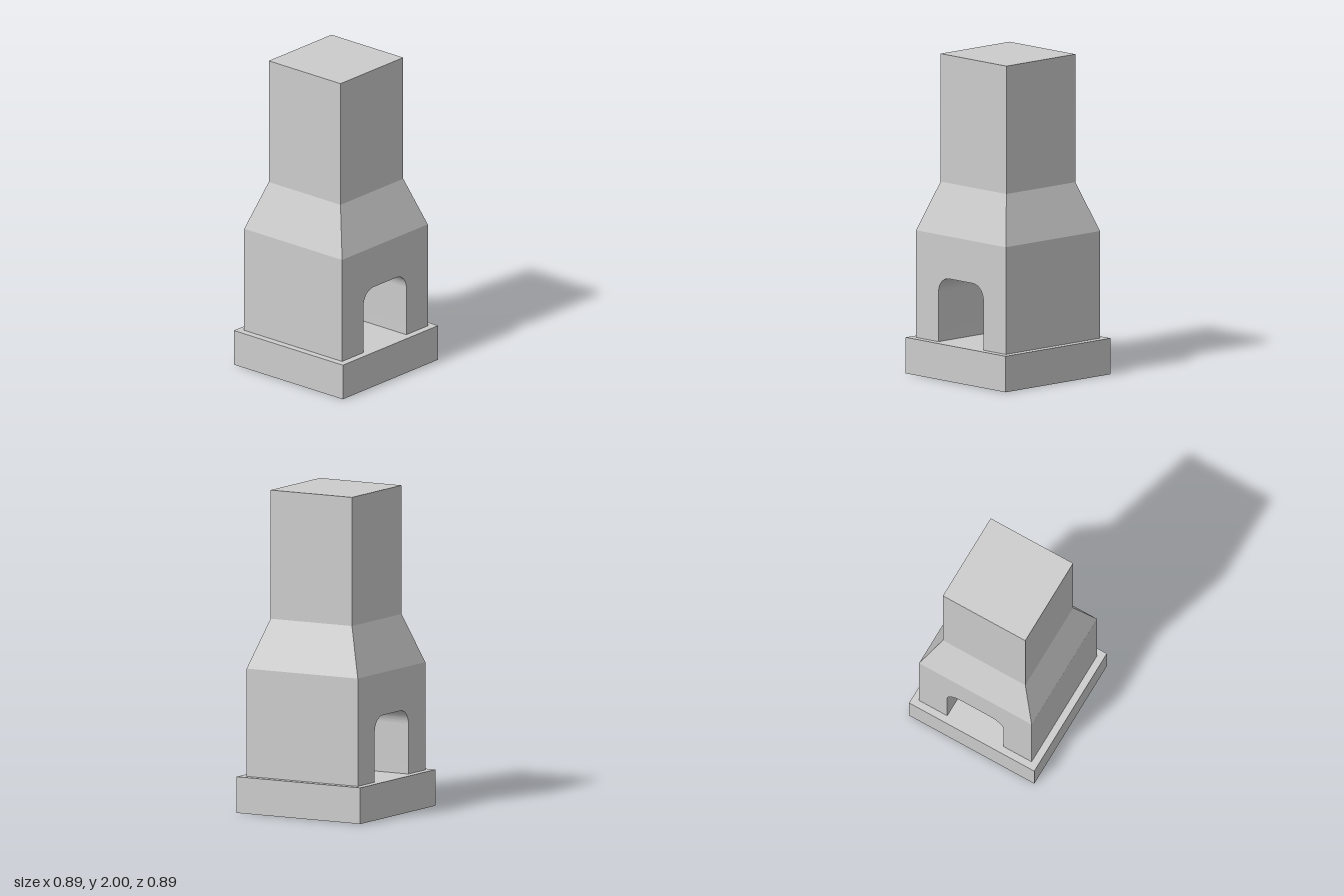
import * as THREE from 'three';
import { toCreasedNormals } from 'three/addons/utils/BufferGeometryUtils.js';

const material = new THREE.MeshStandardMaterial({ color: 0xcccccc });

function part(name, geometry, y) {
  const mesh = new THREE.Mesh(geometry, material);
  mesh.name = name;
  mesh.position.y = y;
  return mesh;
}

// Square firebox outline with a round-cornered opening, run through along x
function fireboxGeometry(half, height, openHalf, openHeight, r) {
  const s = new THREE.Shape();
  s.moveTo(-half, 0);
  s.lineTo(-openHalf, 0);
  s.lineTo(-openHalf, openHeight - r);
  s.absarc(-openHalf + r, openHeight - r, r, Math.PI, Math.PI / 2, true);
  s.lineTo(openHalf - r, openHeight);
  s.absarc(openHalf - r, openHeight - r, r, Math.PI / 2, 0, true);
  s.lineTo(openHalf, 0);
  s.lineTo(half, 0);
  s.lineTo(half, height);
  s.lineTo(-half, height);
  s.closePath();
  const g = new THREE.ExtrudeGeometry(s, { depth: half * 2, bevelEnabled: false, curveSegments: 12 });
  g.translate(0, 0, -half);
  g.rotateY(Math.PI / 2);
  return toCreasedNormals(g, 0.6);
}

// Four-sided taper between two squares
function taperGeometry(topHalf, bottomHalf, height) {
  const g = new THREE.CylinderGeometry(topHalf * Math.SQRT2, bottomHalf * Math.SQRT2, height, 4, 1, true);
  g.rotateY(Math.PI / 4);
  return toCreasedNormals(g, 0.6);
}

export function createModel() {
  const group = new THREE.Group();
  group.name = 'fireplace';

  const baseTop = 0.225, bodyTop = 0.895, hoodTop = 1.2;
  const baseHalf = 0.445, bodyHalf = 0.4, stackHalf = 0.293;

  group.add(part('hearthBase', new THREE.BoxGeometry(baseHalf * 2, baseTop, baseHalf * 2), baseTop / 2));
  group.add(part('firebox', fireboxGeometry(bodyHalf, bodyTop - baseTop, 0.2, 0.405, 0.095), baseTop));
  group.add(part('hood', taperGeometry(stackHalf, bodyHalf, hoodTop - bodyTop), (bodyTop + hoodTop) / 2));
  group.add(part('chimney', new THREE.BoxGeometry(stackHalf * 2, 2 - hoodTop, stackHalf * 2), (2 + hoodTop) / 2));

  return group;
}
